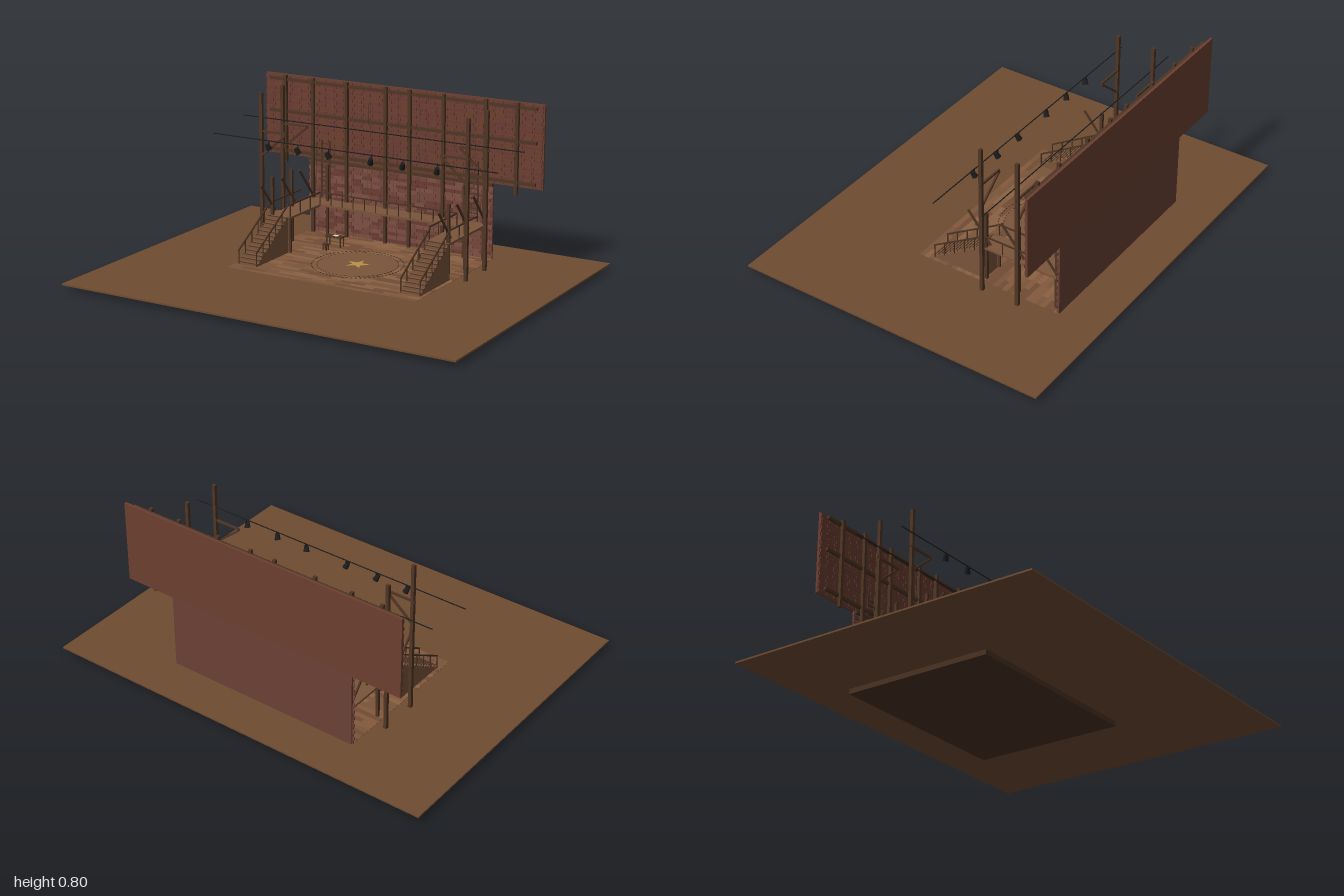
import * as THREE from 'three';
import { mergeGeometries } from 'three/addons/utils/BufferGeometryUtils.js';

const mat = (color, side = THREE.FrontSide) => new THREE.MeshStandardMaterial({ color, side });
const M = {
  ground: mat(0x6f4c32), floor: mat(0x7a543a), dark: mat(0x4a3222), post: mat(0x4e3524),
  upper: mat(0x6b3f2f), lower: mat(0x6a4034), black: mat(0x1c1c1c), rope: mat(0x5a4a38),
  gold: mat(0xb8924a), paper: mat(0xe8dcc0),
};
const planks = [0x7a543a, 0x84593d, 0x704c34, 0x8a6143].map((c) => mat(c));
const bricks = [0x74463a, 0x6a3d33, 0x7d4f42].map((c) => mat(c));
const FLOOR = 0.033, DECK = 0.208;

// Geometry helpers: box by centre, and a bar between two points
const box = (w, h, d, x, y, z) => new THREE.BoxGeometry(w, h, d).translate(x, y, z);
function bar(a, b, t, round = false) {
  const p = new THREE.Vector3(...a), q = new THREE.Vector3(...b);
  const len = p.distanceTo(q);
  const g = round ? new THREE.CylinderGeometry(t / 2, t / 2, len, 8) : new THREE.BoxGeometry(t, len, t);
  const rot = new THREE.Quaternion().setFromUnitVectors(
    new THREE.Vector3(0, 1, 0), q.clone().sub(p).normalize());
  return g.applyQuaternion(rot).translate((p.x + q.x) / 2, (p.y + q.y) / 2, (p.z + q.z) / 2);
}

export function createModel() {
  const root = new THREE.Group();
  let seed = 7;
  const rand = () => (seed = (seed * 16807) % 2147483647) / 2147483647;
  const add = (name, material, ...geos) => {
    const mesh = new THREE.Mesh(mergeGeometries(geos.map((g) => g.toNonIndexed())), material);
    mesh.name = name;
    root.add(mesh);
    return mesh;
  };
  const both = (fn) => [-1, 1].flatMap(fn);

  // Ground slab and stage base
  add('ground', M.ground, box(2, 0.008, 1.555, 0, 0.028, 0));
  add('stageBase', M.dark, box(1, 0.032, 0.75, 0, 0.016, -0.185));

  // Floorboards in four tints, with staggered joints
  const boards = planks.map(() => []);
  for (let r = 0; r < 30; r++) {
    const z = -0.56 + 0.025 * (r + 0.5);
    let x = -0.5;
    while (x < 0.499) {
      const w = Math.min(x === -0.5 ? 0.0625 * (1 + (r % 2)) : 0.125, 0.5 - x);
      boards[Math.floor(rand() * 4)].push(box(w, 0.002, 0.025, x + w / 2, 0.0325, z));
      x += w;
    }
  }
  boards.forEach((b, i) => add('floorboards' + (i + 1), planks[i], ...b));

  // Revolving floor with a double ring of studs and a star
  add('turntable', M.floor, new THREE.CylinderGeometry(0.19, 0.19, 0.0015, 64).translate(0, 0.0338, -0.155));
  const studs = [];
  for (const [r, n] of [[0.215, 64], [0.19, 56]]) {
    for (let i = 0; i < n; i++) {
      const a = (i / n) * Math.PI * 2;
      studs.push(box(0.009, 0.002, 0.004, 0, 0.0345, r).rotateY(a).translate(0, 0, -0.155));
    }
  }
  add('turntableRings', M.dark, ...studs);
  const star = new THREE.Shape();
  for (let i = 0; i < 10; i++) {
    const r = i % 2 ? 0.024 : 0.06, a = Math.PI / 2 + (i * Math.PI) / 5;
    star[i ? 'lineTo' : 'moveTo'](r * Math.cos(a), r * Math.sin(a));
  }
  add('floorStar', M.gold, new THREE.ExtrudeGeometry(star, { depth: 0.002, bevelEnabled: false })
    .rotateX(-Math.PI / 2).translate(0, 0.0345, -0.155));

  // Back walls
  add('lowerWall', M.lower, box(0.994, 0.4, 0.009, 0, 0.2, -0.556));
  add('upperWall', M.upper, box(1.5, 0.4, 0.012, 0, 0.6, -0.558));

  // Brick facing in running bond
  const lay = (name, half, y0, rows, h, mats) => {
    const sets = mats.map(() => []);
    for (let r = 0; r < rows; r++) {
      const shift = r % 2 ? 0.012 : 0;
      for (let x = -half - shift; x < half - 0.013; x += 0.05) {
        const lo = Math.max(x, -half - (r % 2 ? 0.005 : 0)), hi = Math.min(x + 0.048, half + (r % 2 ? 0.005 : 0));
        sets[Math.floor(rand() * mats.length)].push(
          box(hi - lo, h * 0.9, 0.006, (lo + hi) / 2, y0 + h * (r + 0.5), -0.5495));
      }
    }
    sets.forEach((s, i) => add(name + (i + 1), mats[i], ...s));
  };
  lay('lowerBricks', 0.5, FLOOR, 20, 0.0183, bricks);
  lay('upperBricks', 0.745, 0.405, 20, 0.0195, [M.upper, bricks[1]]);

  // Timber frame on the wall
  const frame = [];
  for (const x of [-0.47, -0.28, -0.065, 0.065, 0.245, 0.465]) {
    frame.push(box(0.015, 0.77, 0.015, x, 0.417, -0.527));
  }
  for (const x of [-0.625, 0.625]) frame.push(box(0.016, 0.435, 0.016, x, 0.5845, -0.527));
  for (const y of [0.425, 0.62, 0.78]) frame.push(box(1.44, 0.014, 0.014, 0, y, -0.535));
  frame.push(box(1, 0.014, 0.014, 0, 0.395, -0.54));
  add('wallFrame', M.post, ...frame);

  // Tall side posts with knee braces, and the shorter gallery posts
  const posts = both((s) => [-0.188, -0.375].flatMap((z) => [
    box(0.016, 0.755, 0.016, s * 0.547, 0.408, z),
    bar([s * 0.547, 0.48, z], [s * 0.41, 0.595, z], 0.009),
    bar([s * 0.56, 0.6, z], [s * 0.41, 0.6, z], 0.009),
  ]));
  add('tallPosts', M.post, ...posts);
  add('galleryPosts', M.post, ...both((s) => [
    ...[-0.158, -0.33].map((z) => box(0.014, 0.36, 0.014, s * 0.47, 0.21, z)),
    box(0.01, 0.175, 0.01, s * 0.372, 0.118, -0.16),
    box(0.01, 0.36, 0.01, s * 0.372, 0.21, -0.5),
  ]));
  add('slantedBraces', M.post, ...both((s) => [-0.062, -0.238, -0.402].map(
    (z) => bar([s * 0.47, 0.37, z], [s * 0.47, 0.225, z - 0.12], 0.008))));

  // U-shaped gallery deck
  add('gallery', M.floor,
    ...both((s) => [box(0.11, 0.01, 0.375, s * 0.425, DECK - 0.005, -0.3425)]),
    box(0.74, 0.01, 0.1, 0, DECK - 0.005, -0.48));

  // Gallery railing
  const rail = [bar([-0.372, 0.268, -0.43], [0.372, 0.268, -0.43], 0.006)];
  for (let i = 0; i <= 12; i++) rail.push(box(0.004, 0.06, 0.004, -0.372 + i * 0.062, 0.238, -0.43));
  rail.push(...both((s) => [
    bar([s * 0.372, 0.268, -0.155], [s * 0.372, 0.268, -0.43], 0.006),
    bar([s * 0.478, 0.268, -0.155], [s * 0.478, 0.268, -0.43], 0.006),
    ...[-0.16, -0.25, -0.34].flatMap((z) => [0.372, 0.478].map((x) => box(0.004, 0.06, 0.004, s * x, 0.238, z))),
  ]));
  add('galleryRailing', M.dark, ...rail);

  // Staircases: one stepped profile extruded across the width
  const N = 13, run = 0.275 / N, rise = (DECK - FLOOR) / N;
  const steps = new THREE.Shape().moveTo(0.155, FLOOR);
  steps.lineTo(-0.12, FLOOR);
  for (let i = 0; i < N; i++) {
    steps.lineTo(-0.12 + i * run, FLOOR + (i + 1) * rise);
    steps.lineTo(-0.12 + (i + 1) * run, FLOOR + (i + 1) * rise);
  }
  add('staircases', M.floor, ...both((s) => [
    new THREE.ExtrudeGeometry(steps, { depth: 0.1, bevelEnabled: false })
      .rotateY(Math.PI / 2).translate(s * 0.43 - 0.05, 0, 0)]));
  const nosings = [];
  for (let i = 0; i < N; i++) {
    nosings.push(...both((s) => [box(0.102, 0.003, 0.004, s * 0.43, FLOOR + (i + 1) * rise, 0.12 - i * run)]));
  }
  add('stairNosings', M.dark, ...nosings);
  add('stairRailings', M.dark, ...both((s) => [0.381, 0.479].flatMap((x) => [
    bar([s * x, 0.1, 0.122], [s * x, 0.268, -0.155], 0.006),
    ...[0, 1, 2, 3, 4].map((i) => box(0.004, 0.066, 0.004, s * x, 0.068 + i * 0.0335, 0.12 - i * 0.055)),
  ])));

  // Ladders leaning on the wall
  add('ladders', M.dark, ...both((s) => [
    ...[0.38, 0.425].map((x) => box(0.005, 0.29, 0.006, s * x, 0.355, -0.535)),
    ...Array.from({ length: 12 }, (_, i) => box(0.045, 0.004, 0.005, s * 0.4025, 0.225 + i * 0.0235, -0.535)),
  ]));

  // Lighting pipes and lamps
  add('lightingPipes', M.black,
    bar([-0.75, 0.585, -0.085], [0.75, 0.585, -0.085], 0.005, true),
    bar([-0.75, 0.625, -0.34], [0.75, 0.625, -0.34], 0.005, true));
  add('stageLamps', M.black, ...[-0.44, -0.28, -0.115, 0.11, 0.275, 0.45].flatMap((x) => [
    new THREE.CylinderGeometry(0.01, 0.014, 0.03, 12).rotateX(0.35).rotateZ(x < 0 ? 0.35 : -0.35).translate(x, 0.557, -0.08),
    box(0.004, 0.025, 0.004, x, 0.575, -0.085),
  ]));

  // Hanging ropes
  add('ropes', M.rope, ...[-0.43, -0.14, 0, 0.14, 0.43].map(
    (x) => bar([x, 0.27, -0.49], [x, 0.72, -0.49], 0.002, true)));

  // Table with a sheet of paper, and two stools
  add('table', M.dark, box(0.09, 0.005, 0.04, -0.245, 0.083, -0.36),
    ...both((s) => [-0.375, -0.345].map((z) => box(0.005, 0.048, 0.005, -0.245 + s * 0.038, 0.057, z))));
  add('paper', M.paper, box(0.026, 0.002, 0.018, -0.24, 0.0865, -0.36));
  add('stools', M.dark, ...[[-0.25, -0.28], [0.23, -0.345]].flatMap(([x, z]) => [
    new THREE.CylinderGeometry(0.015, 0.015, 0.005, 16).translate(x, 0.064, z),
    ...both((s) => [-1, 1].map((t) => box(0.004, 0.03, 0.004, x + s * 0.009, 0.047, z + t * 0.009))),
  ]));

  return root;
}
